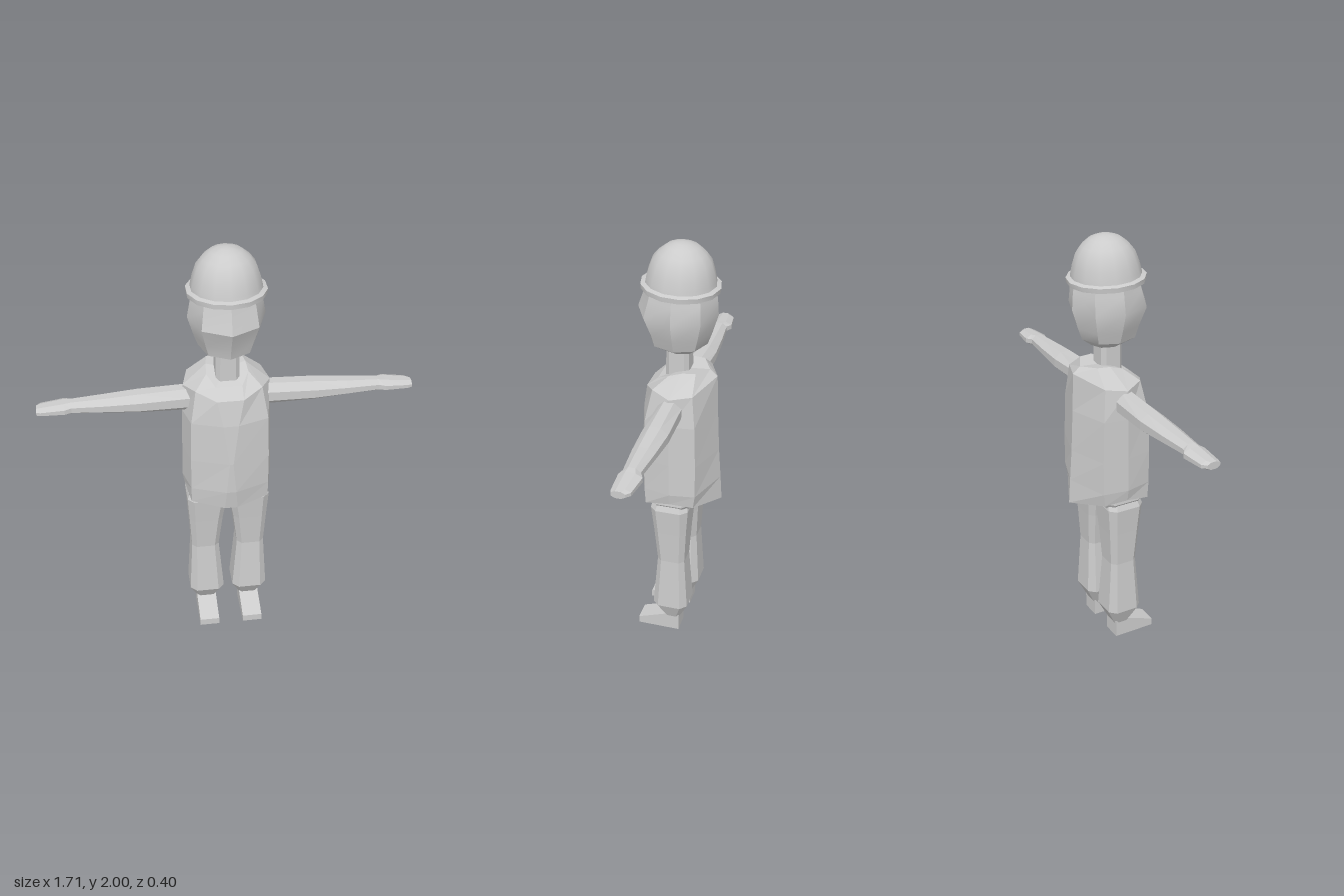
import * as THREE from 'three';
import { toCreasedNormals } from 'three/addons/utils/BufferGeometryUtils.js';

const flat = new THREE.MeshStandardMaterial({ color: 0xcccccc, flatShading: true });
const smooth = new THREE.MeshStandardMaterial({ color: 0xcccccc });

// Skins a list of equal-length rings and closes both ends with a fan.
function loft(rings) {
  const n = rings[0].length, last = rings.length - 1, pos = [];
  const tri = (a, b, c) => pos.push(...a, ...b, ...c);
  const centre = r => [0, 1, 2].map(k => r.reduce((s, p) => s + p[k], 0) / n);
  const low = centre(rings[0]), high = centre(rings[last]);
  for (let j = 0; j < n; j++) {
    const k = (j + 1) % n;
    tri(low, rings[0][k], rings[0][j]);
    tri(high, rings[last][j], rings[last][k]);
    for (let i = 0; i < last; i++) {
      const a = rings[i], b = rings[i + 1];
      tri(a[j], a[k], b[k]);
      tri(a[j], b[k], b[j]);
    }
  }
  const g = new THREE.BufferGeometry();
  g.setAttribute('position', new THREE.Float32BufferAttribute(pos, 3));
  g.computeVertexNormals();
  return g;
}

// Completes a front-to-back half outline on the +x side.
const symmetric = half => [...half,
  ...half.filter(p => p[0] > 0).reverse().map(([x, y, z]) => [-x, y, z])];

// Reflects rings across x = 0, keeping faces outward.
const mirror = rings => rings.map(r => r.map(([x, y, z]) => [-x, y, z]).reverse());

// Rectangle with cut corners at height y.
function chamfered(y, x0, x1, z0, z1, c) {
  return [[x1 - c, z1], [x1, z1 - c], [x1, z0 + c], [x1 - c, z0],
    [x0 + c, z0], [x0, z0 + c], [x0, z1 - c], [x0 + c, z1]].map(([x, z]) => [x, y, z]);
}

// Octagon across the arm at distance x.
function armRing([x, y0, y1, z0, z1]) {
  return Array.from({ length: 8 }, (_, i) => {
    const a = (i + 0.5) * Math.PI / 4, s = 1 / Math.cos(Math.PI / 8);
    return [x, (y0 + y1) / 2 + Math.cos(a) * s * (y1 - y0) / 2,
      (z0 + z1) / 2 + Math.sin(a) * s * (z1 - z0) / 2];
  });
}

export function createModel() {
  const model = new THREE.Group();
  const add = (name, geometry, material = flat) => {
    const mesh = new THREE.Mesh(geometry, material);
    mesh.name = name;
    model.add(mesh);
    return mesh;
  };
  const addPair = (name, rings) => {
    add('left' + name, loft(rings));
    add('right' + name, loft(mirror(rings)));
  };

  // Jacket, with the narrow front strip forming the open lapels
  add('jacket', loft([
    [[.03, .74, .17], [.18, .76, .12], [.2, .785, 0], [.185, .775, -.11], [0, .73, -.2]],
    [[.022, .84, .183], [.18, .84, .125], [.21, .84, 0], [.192, .84, -.12], [0, .85, -.193]],
    [[.008, 1, .183], [.18, 1, .125], [.207, 1, 0], [.19, 1, -.12], [0, 1, -.183]],
    [[.035, 1.2, .166], [.175, 1.2, .12], [.203, 1.2, 0], [.187, 1.2, -.115], [0, 1.2, -.175]],
    [[.06, 1.32, .142], [.15, 1.35, .09], [.198, 1.335, 0], [.17, 1.35, -.1], [0, 1.38, -.17]],
    [[.06, 1.365, .09], [.095, 1.4, .03], [.09, 1.418, -.03], [.08, 1.42, -.09], [0, 1.41, -.135]],
  ].map(symmetric)));

  add('hips', loft([
    chamfered(.735, -.17, .17, -.08, .085, .03),
    chamfered(.765, -.19, .19, -.085, .1, .03),
    chamfered(.85, -.18, .18, -.09, .1, .03),
  ]));

  addPair('TrouserLeg', [
    chamfered(.07, .06, .152, -.03, .04, .015),
    chamfered(.16, .022, .19, -.075, .095, .03),
    chamfered(.43, .045, .176, -.06, .072, .022),
    chamfered(.6, .026, .186, -.07, .086, .025),
    chamfered(.73, .004, .195, -.08, .1, .03),
    chamfered(.77, .004, .18, -.07, .09, .03),
  ]);

  // Wedge shoes: side outline extruded across the foot
  const outline = new THREE.Shape([[-.175, 0], [.03, 0], [.03, .085], [-.035, .085], [-.175, .035]]
    .map(([x, y]) => new THREE.Vector2(x, y)));
  for (const [name, x] of [['leftShoe', .06], ['rightShoe', -.155]]) {
    const g = new THREE.ExtrudeGeometry(outline, { depth: .095, bevelEnabled: false });
    add(name, g.rotateY(Math.PI / 2).translate(x, 0, 0));
  }

  // Sleeves ending in flat mitten hands
  addPair('Arm', [
    [.17, 1.215, 1.325, -.055, .055],
    [.4, 1.22, 1.315, -.06, .058],
    [.55, 1.233, 1.305, -.05, .053],
    [.7, 1.24, 1.297, -.035, .042],
    [.73, 1.241, 1.293, -.052, .052],
    [.835, 1.244, 1.282, -.038, .047],
    [.855, 1.247, 1.28, -.02, .042],
  ].map(armRing));

  add('neck', loft([
    chamfered(1.34, -.055, .055, -.048, .06, .018),
    chamfered(1.53, -.052, .052, -.045, .058, .018),
  ]));

  // Head: height, half width, front z, back z
  const headRings = [
    [1.5, .07, .08, -.075], [1.535, .125, .142, -.122], [1.59, .145, .155, -.142],
    [1.68, .172, .197, -.17], [1.76, .158, .168, -.165], [1.83, .145, .15, -.15],
  ].map(([y, w, f, b]) => symmetric([
    [0, y, f], [w * .72, y, f * .68], [w, y, 0], [w * .72, y, b * .72], [0, y, b]]));
  add('head', toCreasedNormals(loft(headRings), 0.62), smooth);

  // Hard hat: brim and dome turned as one profile, tilted slightly back
  const profile = [[.14, -.01], [.176, -.01], [.178, .012], [.158, .018], [.155, .035], [.147, .07],
    [.13, .12], [.105, .153], [.07, .182], [.035, .195], [0, .2]].map(p => new THREE.Vector2(...p));
  const hat = add('hardHat', toCreasedNormals(new THREE.LatheGeometry(profile, 14), 0.75), smooth);
  hat.position.y = 1.8;
  hat.rotation.x = -.045;
  hat.material = new THREE.MeshStandardMaterial({ color: 0xcccccc, side: THREE.DoubleSide });
  return model;
}
